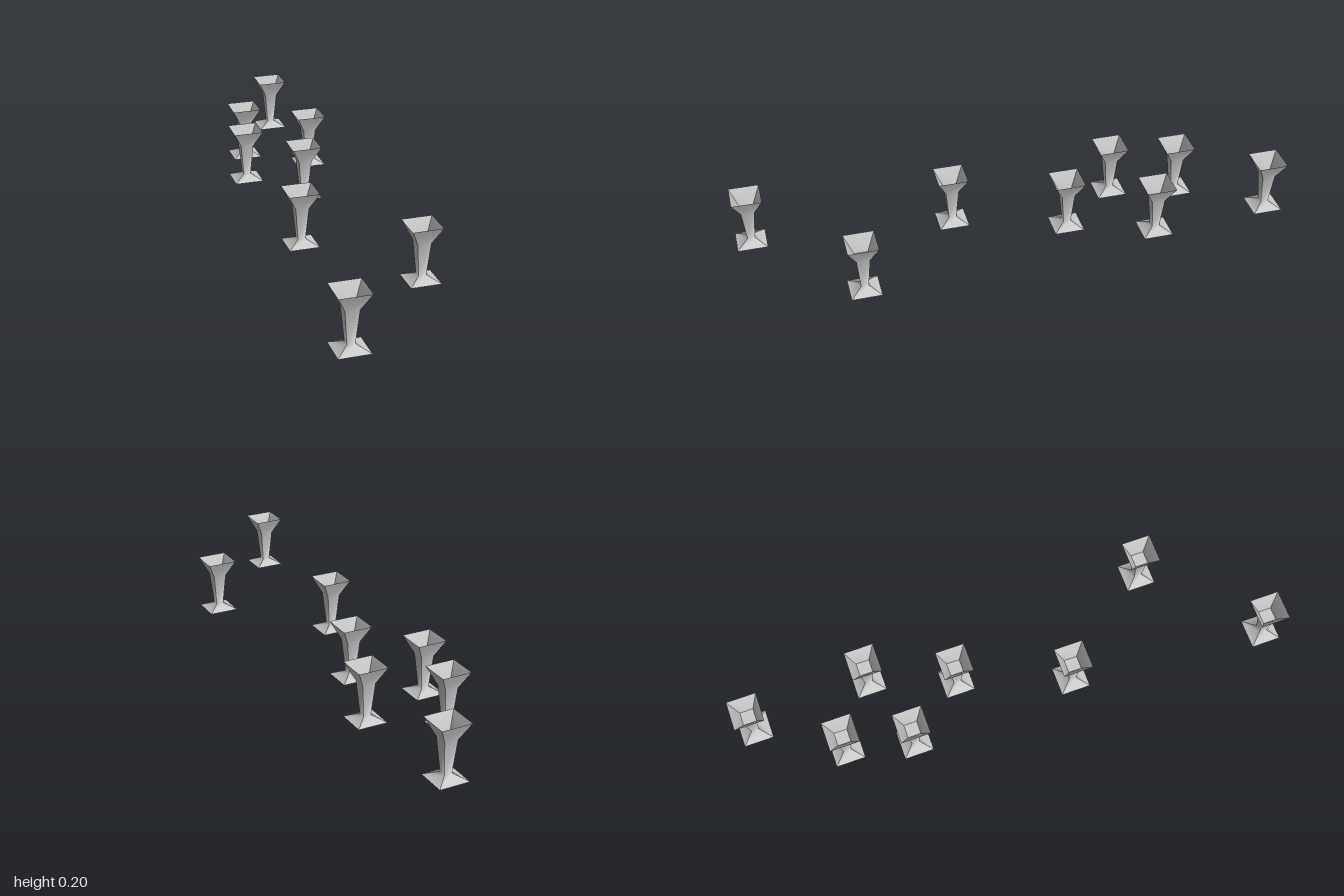
import * as THREE from 'three';
import { mergeGeometries } from 'three/addons/utils/BufferGeometryUtils.js';

const HALF = 0.0545; // half width of rim and foot
const NECK = 0.024, NECK_Y = 0.14;
const HEIGHT = 0.2025;

// Four mitred sides swept along a [half width, height] profile:
// smooth along the profile, sharp at the corners.
function squareSides(profile) {
  const sides = [];
  for (let s = 0; s < 4; s++) {
    const pos = [], index = [];
    profile.forEach(([r, y], i) => {
      pos.push(-r, y, r, r, y, r);
      if (i > 0) {
        const a = 2 * i - 2;
        index.push(a, a + 1, a + 3, a, a + 3, a + 2);
      }
    });
    const side = new THREE.BufferGeometry();
    side.setAttribute('position', new THREE.Float32BufferAttribute(pos, 3));
    side.setIndex(index);
    side.computeVertexNormals();
    side.rotateY(s * Math.PI / 2);
    sides.push(side);
  }
  return mergeGeometries(sides);
}

// Horizontal square facing up (or down)
function square(half, y, down = false) {
  return new THREE.PlaneGeometry(2 * half, 2 * half)
    .rotateX(down ? Math.PI / 2 : -Math.PI / 2)
    .translate(0, y, 0);
}

export function createModel() {
  const material = new THREE.MeshStandardMaterial({ color: 0xcccccc, side: THREE.DoubleSide });

  // Flared foot, tapered stem and thin-walled bowl
  const body = squareSides([[HALF, 0], [0.0135, 0.021], [NECK, NECK_Y], [HALF, HEIGHT]]);
  const parts = {
    pedestalBody: body,
    bowlFloor: square(NECK, NECK_Y),
    footUnderside: square(HALF, 0, true),
  };

  // Scattered positions [x, z]
  const places = [
    [-0.185, 0.945], [0.183, 0.59], [-0.12, 0.21], [0.012, -0.193],
    [-0.156, -0.411], [0.122, -0.5], [-0.1, -0.653], [0.086, -0.945],
  ];

  const model = new THREE.Group();
  model.name = 'pedestals';
  places.forEach(([x, z], i) => {
    const pedestal = new THREE.Group();
    pedestal.name = `pedestal${i + 1}`;
    for (const [name, geometry] of Object.entries(parts)) {
      const mesh = new THREE.Mesh(geometry, material);
      mesh.name = name;
      pedestal.add(mesh);
    }
    pedestal.position.set(x, 0, z);
    model.add(pedestal);
  });
  return model;
}
